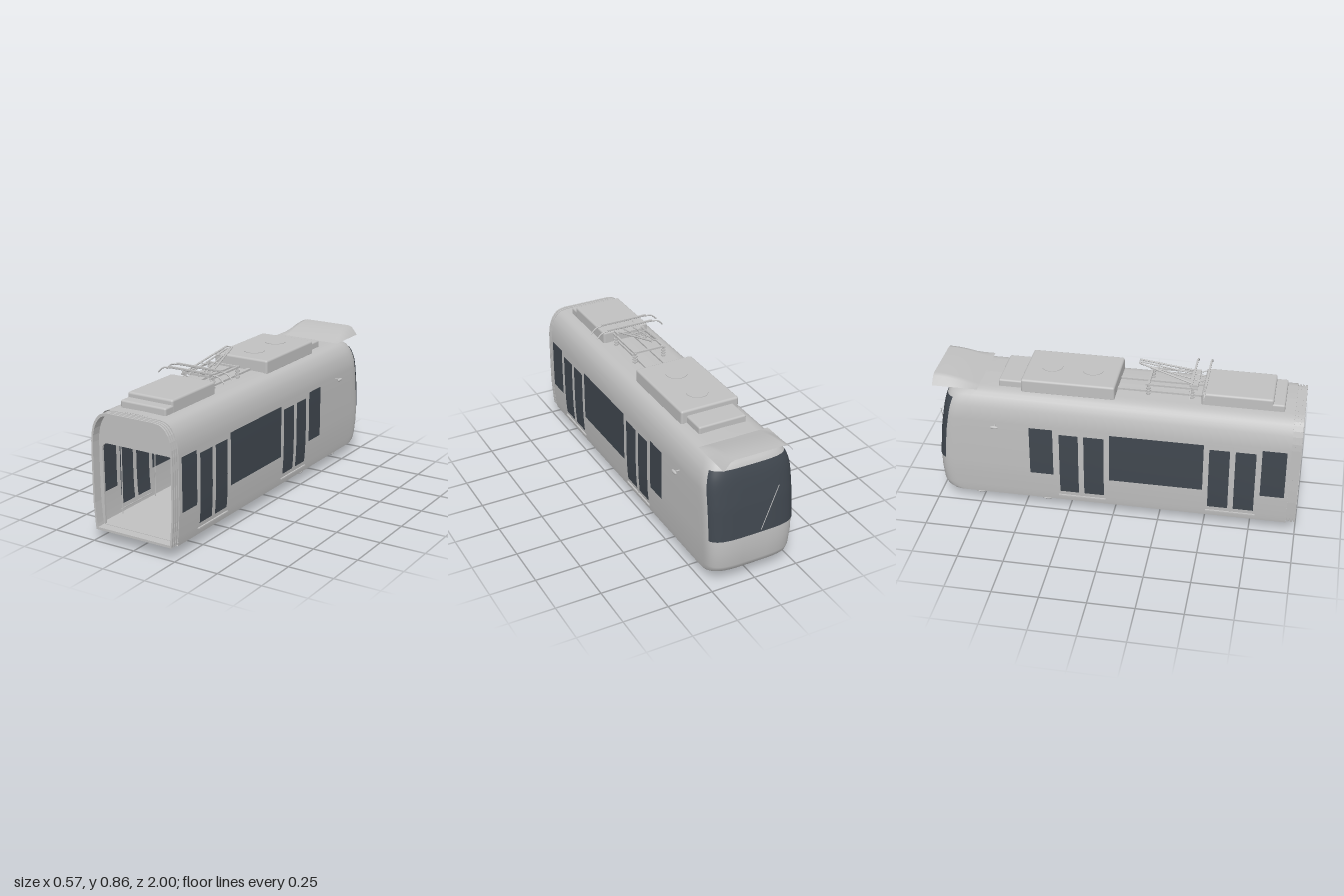
import * as THREE from 'three';
import { RoundedBoxGeometry } from 'three/addons/geometries/RoundedBoxGeometry.js';

const mat = (name, color) => Object.assign(new THREE.MeshStandardMaterial({ color, side: THREE.DoubleSide }), { name });

// Body levels: height, half width, z of the nose tip
const LEVELS = [
  [0.062, 0.235, -0.95], [0.08, 0.238, -0.975], [0.11, 0.241, -0.987], [0.2, 0.248, -0.994], [0.28, 0.25, -0.992],
  [0.45, 0.25, -0.975], [0.54, 0.249, -0.96], [0.58, 0.246, -0.953], [0.62, 0.237, -0.944], [0.65, 0.225, -0.935],
  [0.675, 0.208, -0.92], [0.69, 0.192, -0.9], [0.699, 0.172, -0.87], [0.704, 0.14, -0.83], [0.707, 0, -0.75],
];
const END = 0.95, DEPTH = 0.14;

function level(y) {
  let i = 0;
  while (i < LEVELS.length - 2 && LEVELS[i + 1][0] < y) i++;
  const a = LEVELS[i], b = LEVELS[i + 1], k = (y - a[0]) / (b[0] - a[0]);
  return { w: a[1] + (b[1] - a[1]) * k, zn: a[2] + (b[2] - a[2]) * k };
}

// Grid surface from a function f(u, v) -> [x, y, z]; us and vs are parameter lists
function grid(us, vs, f) {
  const pos = [], idx = [], n = us.length;
  vs.forEach((v) => us.forEach((u) => pos.push(...f(u, v))));
  for (let j = 0; j < vs.length - 1; j++) for (let i = 0; i < n - 1; i++) {
    const a = j * n + i;
    idx.push(a, a + n, a + 1, a + 1, a + n, a + n + 1);
  }
  const g = new THREE.BufferGeometry();
  g.setAttribute('position', new THREE.Float32BufferAttribute(pos, 3));
  g.setIndex(idx);
  g.computeVertexNormals();
  return g;
}
const steps = (a, b, n) => Array.from({ length: n + 1 }, (_, i) => a + ((b - a) * i) / n);

// Point on the rounded nose at angle t, 0 at +x and PI at -x
function nose(t, w, zn) {
  const c = Math.cos(t), s = Math.max(0, Math.sin(t));
  return [w * Math.sign(c) * Math.sqrt(Math.abs(c)), zn + DEPTH * (1 - Math.sqrt(s))];
}
// U-shaped plan: -1 and PI + 1 are the open rear corners
function plan(t, w, zn) {
  if (t < 0) return [w, END];
  if (t > Math.PI) return [-w, END];
  return nose(t, w, zn);
}
const PLAN = [-1, ...steps(0, Math.PI, 40), Math.PI + 1];

// Cross-section of the body, shrunk by a factor about its middle
function section(k = 1, Type = THREE.Shape) {
  const side = LEVELS.slice(0, -1).map(([y, w]) => new THREE.Vector2(w * k, 0.385 + (y - 0.385) * k));
  return new Type([...side, ...side.slice().reverse().map((p) => new THREE.Vector2(-p.x, p.y))]);
}

export function createModel() {
  const model = new THREE.Group();
  const grey = mat('bodyGrey', 0xc0c0c0), glass = mat('darkGlass', 0x40474f);
  const add = (name, geo, m = grey, x = 0, y = 0, z = 0) => {
    const mesh = new THREE.Mesh(geo, m);
    mesh.name = name;
    mesh.position.set(x, y, z);
    model.add(mesh);
    return mesh;
  };
  const box = (name, x0, x1, y0, y1, z0, z1, m = grey, r = 0) => {
    const s = [x1 - x0, y1 - y0, z1 - z0];
    return add(name, r ? new RoundedBoxGeometry(...s, 3, r) : new THREE.BoxGeometry(...s), m,
      (x0 + x1) / 2, (y0 + y1) / 2, (z0 + z1) / 2);
  };
  const bar = (name, a, b, r = 0.004) => {
    const p = new THREE.Vector3(...a), d = new THREE.Vector3(...b).sub(p);
    const mesh = add(name, new THREE.CylinderGeometry(r, r, d.length(), 8));
    mesh.position.copy(p).addScaledVector(d, 0.5);
    mesh.quaternion.setFromUnitVectors(new THREE.Vector3(0, 1, 0), d.normalize());
    return mesh;
  };

  // Body shell, underside and floor
  add('bodyShell', grid(PLAN, LEVELS, (t, [y, w, zn]) => { const [x, z] = plan(t, w, zn); return [x, y, z]; }));
  for (const [name, y] of [['underside', 0.062], ['floor', 0.082]]) {
    const { w, zn } = level(y);
    add(name, grid(PLAN, [0, 1], (t, k) => { const [x, z] = plan(t, w, zn); return [x * k, y, z]; }));
  }

  // Windscreen wrapped round the nose
  add('windscreen', grid(steps(0.4, Math.PI - 0.4, 40), steps(0.275, 0.655, 16), (t, y) => {
    const { w, zn } = level(y), [x, z] = nose(t, w + 0.003, zn - 0.003);
    return [x, y, z];
  }), glass);
  bar('wiper', [-0.03, 0.29, -0.996], [-0.13, 0.52, -0.985], 0.002);

  // Side glazing follows the wall on its outside and inside
  const panes = [[0.8, 0.93, 0.235, 0.525], [-0.02, 0.49, 0.235, 0.525], [-0.46, -0.33, 0.235, 0.525],
    [0.66, 0.77, 0.125, 0.5], [0.52, 0.63, 0.125, 0.5], [-0.16, -0.05, 0.125, 0.5], [-0.295, -0.19, 0.125, 0.5]];
  for (const s of [1, -1]) {
    for (const [z0, z1, y0, y1] of panes) for (const off of [0.003, -0.003])
      add(y0 < 0.2 ? 'doorGlass' : 'sideWindow',
        grid([z0, z1], steps(y0, y1, 6), (z, y) => [s * (level(y).w + off), y, z]), glass);
    // Door seams, sills and inner grab poles
    for (const z of [0.645, -0.175, -0.31])
      add('doorSeam', grid([z - 0.004, z + 0.004], steps(0.1, 0.53, 6), (q, y) => [s * (level(y).w + 0.004), y, q]));
    for (const [z0, z1] of [[0.51, 0.78], [-0.305, -0.04]])
      box('doorSill', s * 0.243 - 0.006, s * 0.243 + 0.006, 0.095, 0.101, z0, z1);
    for (const z of [0.79, 0.5, -0.03, -0.31]) bar('grabPole', [s * 0.222, 0.082, z], [s * 0.222, 0.515, z], 0.003);
    bar('grabPole', [s * 0.178, 0.082, 0.3], [s * 0.178, 0.51, 0.3], 0.003);
    // Wing mirror
    bar('mirrorArm', [s * 0.245, 0.525, -0.645], [s * 0.28, 0.525, -0.645], 0.004);
    add('mirror', new THREE.SphereGeometry(0.01, 16, 10), grey, s * 0.279, 0.525, -0.645).scale.set(0.8, 0.9, 2.4);
    // Seats against the cab wall
    const [a, b] = s > 0 ? [0.045, 0.205] : [-0.205, -0.045];
    box('seatPad', a, b, 0.155, 0.175, -0.49, -0.38);
    box('seatBack', a, b, 0.175, 0.31, -0.49, -0.47);
  }
  bar('centrePole', [0, 0.082, 0.4], [0, 0.52, 0.4], 0.004);

  // Cab wall with its door window and display
  add('cabWall', new THREE.ShapeGeometry(section(0.99)), grey, 0, 0, -0.5);
  box('cabDoorWindow', -0.17, -0.064, 0.33, 0.425, -0.5, -0.493, glass);
  box('displayFrame', -0.064, 0.064, 0.46, 0.505, -0.5, -0.48);
  box('display', -0.059, 0.059, 0.463, 0.5, -0.48, -0.476, glass);

  // Portal at the open end
  const portal = section(0.985);
  const arch = new THREE.Path().moveTo(-0.215, 0.082);
  arch.lineTo(-0.22, 0.48).quadraticCurveTo(-0.22, 0.52, -0.18, 0.52).lineTo(0.18, 0.52);
  arch.quadraticCurveTo(0.22, 0.52, 0.22, 0.48).lineTo(0.215, 0.082).lineTo(-0.215, 0.082);
  portal.holes.push(arch);
  add('portal', new THREE.ExtrudeGeometry(portal, { depth: 0.012, bevelEnabled: false }), grey, 0, 0, 0.935);

  // Gangway bellows
  const rib = (k, inner, depth, z) => {
    const shape = section(k);
    shape.holes.push(section(inner, THREE.Path));
    add('bellowsRib', new THREE.ExtrudeGeometry(shape, { depth, bevelEnabled: false }), grey, 0, 0, z);
  };
  rib(0.965, 0.945, 0.05, 0.95);
  for (const z of [0.955, 0.972, 0.989]) rib(0.985, 0.945, 0.011, z);

  // Raised visor above the cab
  const VISOR = [[-0.2, 0], [-0.165, 0.85], [-0.14, 1], [0, 1], [0.14, 1], [0.165, 0.85], [0.2, 0]];
  add('roofVisor', grid(VISOR, steps(0, 1, 8), ([x, h], v) =>
    [x, 0.706 + h * 0.05 * Math.sin(v * Math.PI / 2), -0.75 - 0.25 * v]));

  // Roof equipment boxes, fans and cable rails
  box('rearRoofBox', -0.137, 0.137, 0.69, 0.77, 0.455, 0.835, grey, 0.012);
  box('rearRoofStep', -0.137, 0.137, 0.69, 0.743, 0.82, 0.895, grey, 0.01);
  box('climateUnit', -0.168, 0.168, 0.69, 0.773, -0.515, -0.005, grey, 0.012);
  box('climateStep', -0.137, 0.137, 0.69, 0.743, -0.645, -0.5, grey, 0.01);
  for (const z of [-0.375, -0.15])
    add('fanCover', new THREE.CylinderGeometry(0.058, 0.058, 0.004, 32), grey, 0, 0.774, z);
  for (const s of [1, -1]) box('cableRail', s * 0.055 - 0.01, s * 0.055 + 0.01, 0.7, 0.716, -0.01, 0.46);

  // Pantograph base on insulators
  for (const s of [1, -1]) {
    for (const z of [0.165, 0.4]) {
      bar('insulatorCore', [s * 0.088, 0.7, z], [s * 0.088, 0.768, z], 0.007);
      for (const y of [0.716, 0.732, 0.748])
        add('insulatorDisc', new THREE.CylinderGeometry(0.013, 0.013, 0.008, 16), grey, s * 0.088, y, z);
    }
    box('baseRail', s * 0.088 - 0.005, s * 0.088 + 0.005, 0.762, 0.772, 0.15, 0.43);
    // Folding arms
    bar('lowerArm', [s * 0.07, 0.785, 0.4], [s * 0.018, 0.855, 0.105], 0.005);
    bar('upperArm', [s * 0.03, 0.78, 0.45], [s * 0.012, 0.845, 0.11], 0.004);
    bar('headLink', [s * 0.05, 0.775, 0.4], [s * 0.05, 0.808, 0.475], 0.003);
  }
  for (const z of [0.165, 0.4]) box('baseCrossbar', -0.088, 0.088, 0.764, 0.774, z - 0.006, z + 0.006);
  box('pantographPlate', -0.085, 0.085, 0.773, 0.785, 0.385, 0.43);
  for (const k of [0.3, 0.65, 1])
    bar('armRung', [-0.07 + 0.052 * k, 0.785 + 0.07 * k, 0.4 - 0.295 * k], [0.07 - 0.052 * k, 0.785 + 0.07 * k, 0.4 - 0.295 * k], 0.003);
  const horn = new THREE.CatmullRomCurve3([[-0.205, 0.773], [-0.175, 0.8], [-0.13, 0.807], [0, 0.807], [0.13, 0.807],
    [0.175, 0.8], [0.205, 0.773]].map(([x, y]) => new THREE.Vector3(x, y, 0)));
  for (const z of [0.4, 0.475]) {
    add('contactHorn', new THREE.TubeGeometry(horn, 36, 0.004, 8), grey, 0, 0, z);
    box('contactStrip', -0.138, 0.138, 0.808, 0.816, z - 0.005, z + 0.005);
  }

  // Bogie wheels, axles, brakes and motors
  const tread = [[0, 0.018], [0.022, 0.016], [0.03, 0.008], [0.05, 0.006], [0.056, 0.013], [0.06, 0.013],
    [0.061, -0.008], [0.067, -0.01], [0.067, -0.015], [0.05, -0.015], [0, -0.012]].map((p) => new THREE.Vector2(...p));
  for (const z of [-0.39, -0.775]) {
    bar('axle', [-0.16, 0.067, z], [0.16, 0.067, z], 0.009);
    for (const s of [1, -1])
      add('wheel', new THREE.LatheGeometry(tread, 32), grey, s * 0.16, 0.067, z).rotation.z = -s * Math.PI / 2;
  }
  for (const z of [-0.49, -0.67]) {
    bar('motor', [-0.063, 0.066, z], [0.063, 0.066, z], 0.026);
    for (const s of [1, -1]) box('brakeHanger', s * 0.1 - 0.005, s * 0.1 + 0.005, 0.03, 0.08, z - 0.015, z + 0.015);
  }
  return model;
}
